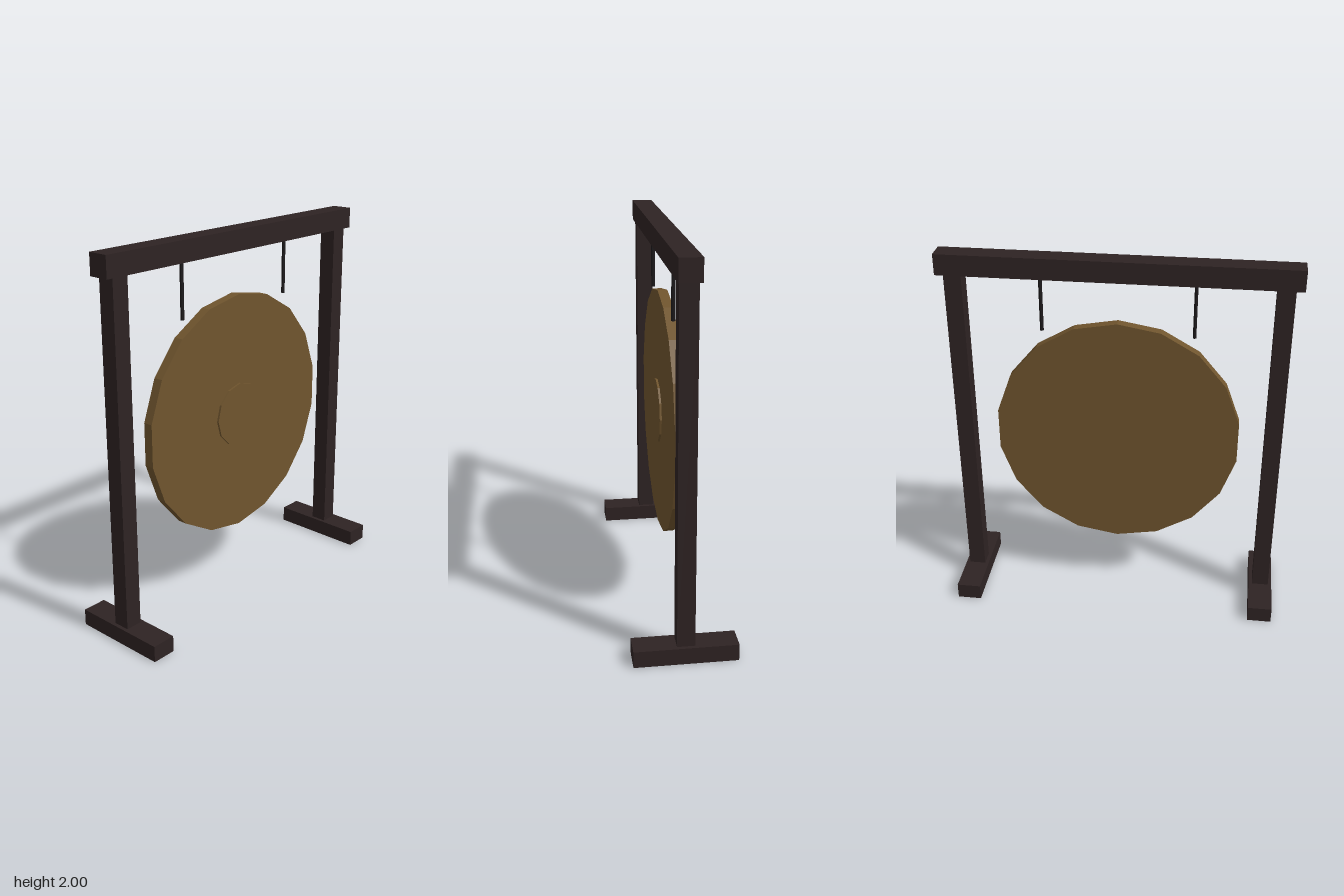
import * as THREE from 'three';

const mat = (name, color) =>
  Object.assign(new THREE.MeshStandardMaterial({ color, flatShading: true }), { name });

export function createModel() {
  const wood = mat('dark wood', 0x2e2323);
  const bronze = mat('aged bronze', 0x70552e);
  const cord = mat('dark cord', 0x1c191b);
  const model = new THREE.Group();
  model.name = 'gongOnStand';

  const add = (name, geometry, material, x, y, z) => {
    const mesh = new THREE.Mesh(geometry, material);
    mesh.name = name;
    mesh.position.set(x, y, z);
    model.add(mesh);
  };
  // Flat disc facing +z, with a corner at the top
  const disc = (radius, depth, sides) =>
    new THREE.CylinderGeometry(radius, radius, depth, sides).rotateX(Math.PI / 2);

  // Frame: crossbeam, then a foot, post and cord on each side
  add('crossbeam', new THREE.BoxGeometry(1.826, 0.11, 0.11), wood, 0, 1.945, 0);
  for (const [side, s] of [['left', 1], ['right', -1]]) {
    add(side + 'Foot', new THREE.BoxGeometry(0.13, 0.087, 0.522), wood, s * 0.826, 0.0435, 0);
    add(side + 'Post', new THREE.BoxGeometry(0.09, 1.803, 0.09), wood, s * 0.826, 0.9885, 0);
    add(side + 'Cord', new THREE.CylinderGeometry(0.01, 0.01, 0.295, 6), cord, s * 0.39, 1.7425, 0);
  }

  // Gong with a low raised boss on the front
  add('gong', disc(0.653, 0.052, 18), bronze, 0, 1.007, 0);
  add('gongBoss', disc(0.173, 0.03, 12), bronze, 0, 1.007, 0.022);

  return model;
}
